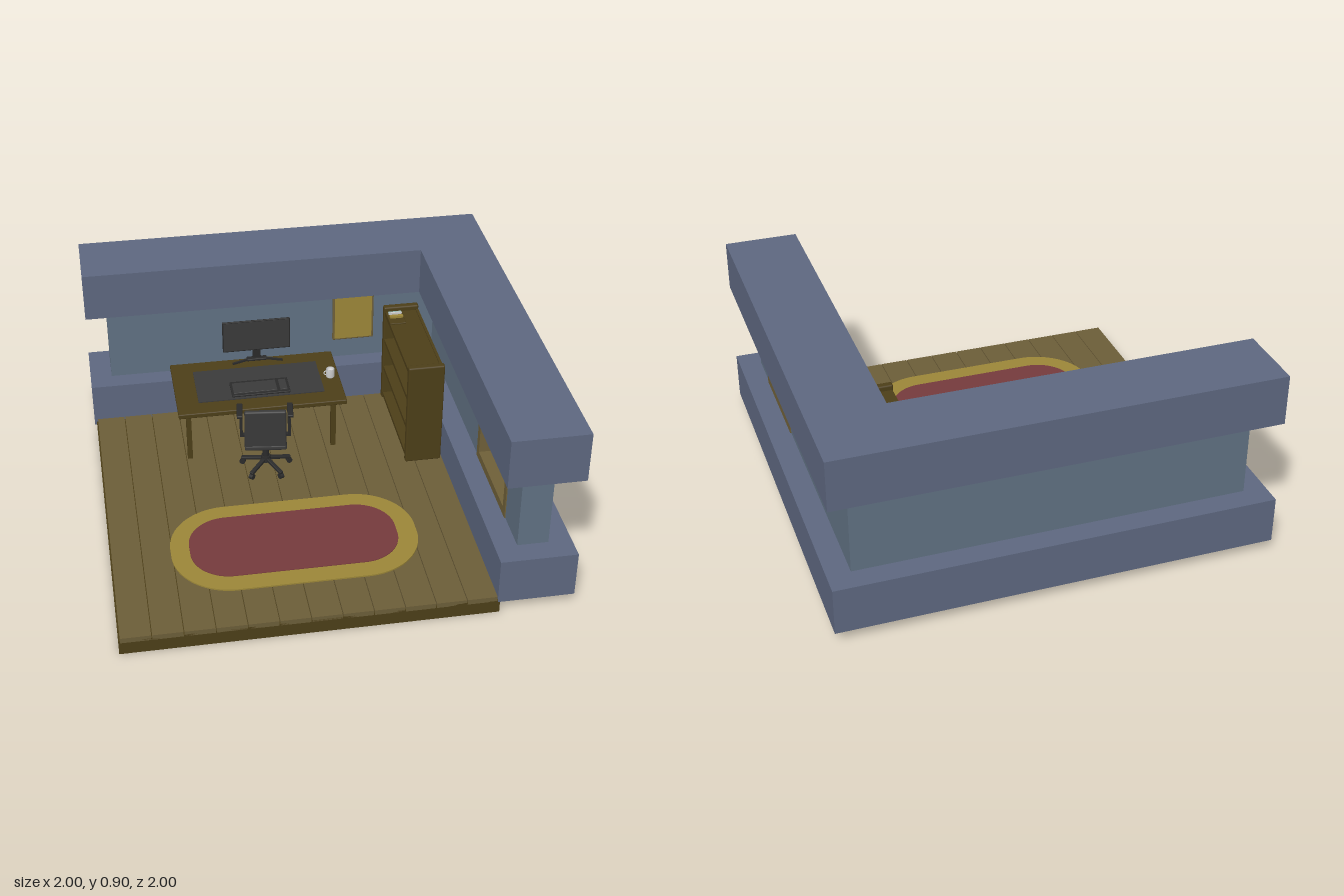
import * as THREE from 'three';
import { RoundedBoxGeometry } from 'three/addons/geometries/RoundedBoxGeometry.js';

const mat = (color) => new THREE.MeshStandardMaterial({ color });
const M = {
  beam: mat(0x5d677f), wall: mat(0x607182), wood: mat(0x6b5d38), darkWood: mat(0x4c3e18),
  gold: mat(0x9b8638), red: mat(0x753a3c), dark: mat(0x3a3a3a), black: mat(0x2a2a2a),
  white: mat(0xcccccc), frame: mat(0x6e5f38), teal: mat(0x8fb5b0),
};

function add(parent, name, geometry, material, x = 0, y = 0, z = 0) {
  const mesh = new THREE.Mesh(geometry, material);
  mesh.name = name;
  mesh.position.set(x, y, z);
  parent.add(mesh);
  return mesh;
}

// Box given by its extents on each axis, optionally with rounded edges
function box(parent, name, material, [x0, x1], [y0, y1], [z0, z1], r = 0) {
  const s = [x1 - x0, y1 - y0, z1 - z0];
  const g = r ? new RoundedBoxGeometry(...s, 2, r) : new THREE.BoxGeometry(...s);
  return add(parent, name, g, material, (x0 + x1) / 2, (y0 + y1) / 2, (z0 + z1) / 2);
}

function group(parent, name) {
  const g = new THREE.Group();
  g.name = name;
  parent.add(g);
  return g;
}

// Plan outline lifted to a slab between two heights
function slab(parent, name, material, shape, y0, y1) {
  const g = new THREE.ExtrudeGeometry(shape, { depth: y1 - y0, bevelEnabled: false, curveSegments: 16 });
  g.rotateX(-Math.PI / 2);
  return add(parent, name, g, material, 0, y0, 0);
}

function roundedPlan(x0, x1, z0, z1, r) {
  const s = new THREE.Shape();
  s.absarc(x1 - r, -z0 - r, r, 0, Math.PI / 2);
  s.absarc(x0 + r, -z0 - r, r, Math.PI / 2, Math.PI);
  s.absarc(x0 + r, -z1 + r, r, Math.PI, Math.PI * 1.5);
  s.absarc(x1 - r, -z1 + r, r, Math.PI * 1.5, Math.PI * 2);
  s.closePath();
  return s;
}

function buildRoom(root) {
  // Floor base and planks
  box(root, 'floorBase', M.darkWood, [-0.99, 0.665], [0, 0.07], [-0.66, 1]);
  const planks = group(root, 'floorPlanks');
  const w = 1.64 / 12;
  for (let i = 0; i < 12; i++) {
    const x = -0.985 + i * w;
    box(planks, 'plank', M.wood, [x + 0.002, x + w - 0.002], [0.06, 0.085], [-0.66, 1]);
  }

  // L-shaped lower and upper beams
  const plan = new THREE.Shape(
    [[-1, 1], [-1, 0.66], [0.655, 0.66], [0.655, -1], [1, -1], [1, 1]].map((p) => new THREE.Vector2(...p)));
  slab(root, 'lowerBeam', M.beam, plan, 0.055, 0.275);
  slab(root, 'upperBeam', M.beam, plan, 0.67, 0.905);

  // Recessed walls, leaving the window opening
  const y = [0.275, 0.67];
  box(root, 'backWall', M.wall, [-0.895, 0.755], y, [-0.895, -0.755]);
  box(root, 'sideWallRear', M.wall, [0.755, 0.895], y, [-0.895, 0.21]);
  box(root, 'sideWallFront', M.wall, [0.755, 0.895], y, [0.7, 0.895]);

  // Window
  const win = group(root, 'window');
  const fx = [0.75, 0.9];
  for (const [a, b] of [[0.21, 0.245], [0.665, 0.7]]) box(win, 'windowJamb', M.frame, fx, y, [a, b]);
  for (const [a, b] of [[0.275, 0.315], [0.63, 0.67]]) box(win, 'windowRail', M.frame, fx, [a, b], [0.245, 0.665]);
  box(win, 'verticalBar', M.frame, [0.808, 0.842], [0.31, 0.635], [0.44, 0.475], 0.008);
  box(win, 'horizontalBar', M.frame, [0.808, 0.842], [0.452, 0.487], [0.24, 0.67], 0.008);

  // Framed picture on the back wall
  const pic = group(root, 'wallPicture');
  box(pic, 'pictureFrame', M.frame, [0.233, 0.442], [0.383, 0.657], [-0.755, -0.738], 0.004);
  box(pic, 'pictureFace', M.gold, [0.243, 0.432], [0.393, 0.647], [-0.75, -0.735]);

  // Rug
  slab(root, 'rugBorder', M.gold, roundedPlan(-0.72, 0.4, 0.195, 0.79, 0.27), 0.1, 0.107);
  slab(root, 'rugCentre', M.red, roundedPlan(-0.635, 0.31, 0.28, 0.7, 0.18), 0.102, 0.11);
}

function buildDesk(root) {
  const desk = group(root, 'desk');
  box(desk, 'deskTop', M.darkWood, [-0.605, 0.21], [0.345, 0.37], [-0.66, -0.205], 0.005);
  for (const x of [-0.556, 0.15])
    for (const z of [-0.61, -0.255])
      box(desk, 'deskLeg', M.darkWood, [x - 0.012, x + 0.012], [0.085, 0.35], [z - 0.012, z + 0.012]);
  box(desk, 'deskMat', M.dark, [-0.5, 0.115], [0.368, 0.374], [-0.57, -0.295]);

  const kb = group(desk, 'keyboard');
  box(kb, 'keyboardBody', M.black, [-0.335, -0.05], [0.373, 0.383], [-0.435, -0.31], 0.003);
  box(kb, 'mainKeys', M.dark, [-0.325, -0.112], [0.38, 0.388], [-0.415, -0.325], 0.002);
  box(kb, 'sideKeys', M.dark, [-0.098, -0.062], [0.38, 0.388], [-0.415, -0.325], 0.002);

  const mon = group(desk, 'monitor');
  box(mon, 'monitorCase', M.black, [-0.34, -0.002], [0.43, 0.6], [-0.643, -0.633], 0.003);
  box(mon, 'monitorScreen', M.dark, [-0.334, -0.008], [0.437, 0.594], [-0.64, -0.631]);
  box(mon, 'monitorPost', M.black, [-0.19, -0.15], [0.375, 0.52], [-0.656, -0.642]);
  box(mon, 'monitorHub', M.black, [-0.22, -0.12], [0.369, 0.382], [-0.658, -0.628], 0.004);
  for (const s of [-1, 1]) {
    const foot = box(mon, 'monitorFoot', M.black, [-0.05, 0.05], [0.37, 0.379], [-0.005, 0.005]);
    foot.position.x = -0.17 + s * 0.078;
    foot.position.z = -0.628;
    foot.rotation.y = -s * 0.35;
  }

  // Hollow mug with handle
  const profile = [[0, 0], [0.019, 0], [0.021, 0.004], [0.021, 0.045], [0.018, 0.045], [0.018, 0.03], [0, 0.03]];
  const mug = group(desk, 'mug');
  mug.position.set(0.165, 0.37, -0.425);
  add(mug, 'mugCup', new THREE.LatheGeometry(profile.map((p) => new THREE.Vector2(...p)), 24), M.white);
  add(mug, 'mugHandle', new THREE.TorusGeometry(0.011, 0.003, 8, 16), M.white, -0.02, 0.023, 0);
}

function buildChair(root) {
  const chair = group(root, 'officeChair');
  chair.position.set(-0.203, 0, -0.115);
  chair.rotation.y = -0.12;
  box(chair, 'seat', M.dark, [-0.1, 0.1], [0.243, 0.272], [-0.1, 0.09], 0.01);
  const back = box(chair, 'backrest', M.dark, [-0.098, 0.098], [0.243, 0.47], [0.068, 0.093], 0.008);
  back.rotation.x = 0.06;
  add(chair, 'gasPost', new THREE.CylinderGeometry(0.016, 0.016, 0.12, 16), M.black, 0, 0.2, 0);
  add(chair, 'baseHub', new THREE.CylinderGeometry(0.022, 0.026, 0.03, 16), M.black, 0, 0.142, 0);

  // Armrests
  for (const s of [-1, 1]) {
    box(chair, 'armPost', M.black, [s * 0.115 - 0.007, s * 0.115 + 0.007], [0.255, 0.385], [-0.04, -0.02]);
    box(chair, 'armBracket', M.black, [s * 0.105 - 0.017, s * 0.105 + 0.017], [0.25, 0.262], [-0.04, -0.02]);
    box(chair, 'armPad', M.black, [s * 0.12 - 0.014, s * 0.12 + 0.014], [0.38, 0.396], [-0.095, 0.02], 0.005);
  }

  // Five-spoke base with casters
  for (let i = 0; i < 5; i++) {
    const spoke = group(chair, 'baseSpoke');
    spoke.rotation.y = (i * Math.PI * 2) / 5 + Math.PI / 2;
    const arm = box(spoke, 'spokeArm', M.black, [0, 0.125], [-0.008, 0.008], [-0.01, 0.01], 0.004);
    arm.position.y = 0.13;
    arm.rotation.z = -0.2;
    const caster = add(spoke, 'caster', new THREE.CylinderGeometry(0.014, 0.014, 0.02, 14), M.black, 0.118, 0.1, 0);
    caster.rotation.x = Math.PI / 2;
  }
}

function buildShelf(root) {
  const shelf = group(root, 'bookcase');
  for (const z of [-0.65, -0.077])
    box(shelf, 'sidePanel', M.darkWood, [0.47, 0.645], [0.085, 0.62], [z, z + 0.035], 0.008);
  box(shelf, 'backPanel', M.darkWood, [0.63, 0.643], [0.09, 0.6], [-0.62, -0.07]);
  for (const y of [0.1, 0.26, 0.42, 0.575])
    box(shelf, 'shelfBoard', M.darkWood, [0.475, 0.635], [y, y + 0.02], [-0.62, -0.07]);

  // Small book tray on the top board
  box(shelf, 'bookTray', M.darkWood, [0.475, 0.555], [0.59, 0.602], [-0.605, -0.49], 0.003);
  [M.teal, M.white, M.gold].forEach((m, i) => {
    const z = [-0.59, -0.582, -0.557][i];
    box(shelf, 'book', m, [0.485, 0.55], [0.6, 0.613], [z, z + [0.008, 0.008, 0.018][i]]);
  });
}

export function createModel() {
  const root = new THREE.Group();
  root.name = 'officeRoom';
  buildRoom(root);
  buildDesk(root);
  buildChair(root);
  buildShelf(root);
  return root;
}
